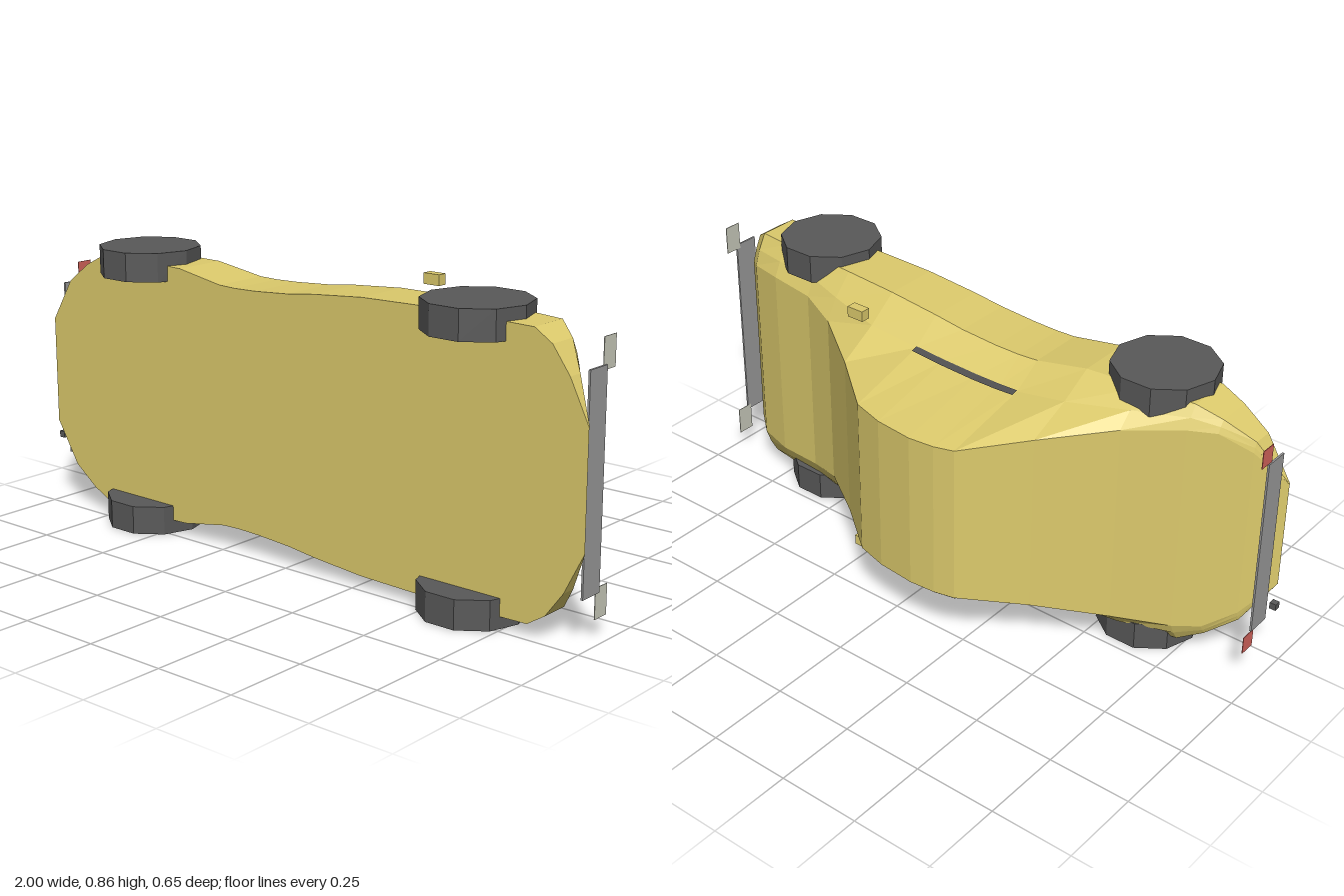
import * as THREE from 'three';

// The car rests on its side: length along x (nose +x), width along y, roof toward -z.
const MID = 0.4325; // middle of the car's width
const FLOOR = 0.235;

// x, body half width, shoulder z, roof half width, roof z
const STATIONS = [
  [-0.98, 0.165, 0.233, 0.165, 0.232],
  [-0.9, 0.295, 0.175, 0.265, 0.165],
  [-0.82, 0.355, 0.13, 0.32, 0.11],
  [-0.75, 0.39, 0.1, 0.325, 0.065],
  [-0.6, 0.395, 0.08, 0.31, -0.025],
  [-0.42, 0.39, 0.07, 0.275, -0.165],
  [-0.26, 0.362, 0.06, 0.245, -0.304],
  [-0.2, 0.36, 0.057, 0.243, -0.32],
  [-0.12, 0.362, 0.055, 0.242, -0.327],
  [0, 0.37, 0.055, 0.243, -0.315],
  [0.1, 0.382, 0.057, 0.245, -0.286],
  [0.27, 0.396, 0.063, 0.257, -0.15],
  [0.45, 0.4, 0.075, 0.275, -0.024],
  [0.57, 0.4, 0.085, 0.3, 0.02],
  [0.72, 0.397, 0.095, 0.308, 0.037],
  [0.83, 0.395, 0.11, 0.302, 0.066],
  [0.885, 0.36, 0.145, 0.28, 0.11],
  [0.94, 0.285, 0.19, 0.235, 0.18],
  [1.0, 0.165, 0.233, 0.165, 0.232],
];

const mat = (name, color, side = THREE.FrontSide) =>
  new THREE.MeshStandardMaterial({ name, color, side, flatShading: true });

// Half section as [half width, z]: floor, shoulder, belt line, roof edge
function section([, w, zs, r, zr]) {
  const zb = Math.max(-0.03, zr + 0.4 * (zs - zr));
  return [[w, FLOOR], [w, zs], [(w + r) / 2, zb], [r, zr]];
}

// Loft quads through rows of points
function loft(rows, closed) {
  const n = rows[0].length;
  const index = [];
  for (let i = 0; i < rows.length - 1; i++) {
    for (let j = 0; j < (closed ? n : n - 1); j++) {
      const k = (j + 1) % n;
      const a = i * n + j, b = i * n + k, c = b + n, d = a + n;
      index.push(a, c, b, a, d, c);
    }
  }
  const geo = new THREE.BufferGeometry();
  geo.setAttribute('position', new THREE.Float32BufferAttribute(rows.flat(2), 3));
  geo.setIndex(index);
  geo.computeVertexNormals();
  return geo;
}

function bodyGeometry() {
  return loft(STATIONS.map((s) => {
    const half = section(s);
    const left = half.map(([w, z]) => [s[0], MID + w, z]);
    const right = half.map(([w, z]) => [s[0], MID - w, z]).reverse();
    return [...left, ...right];
  }), true);
}

// Thin glass skin over the cabin side, from the belt line up by fraction t
function glassGeometry(side, x0, x1, t) {
  const rows = STATIONS.filter((s) => s[0] >= x0 && s[0] <= x1).map((s) => {
    const [, , belt, roof] = section(s);
    return [0, t].map((f) => [
      s[0],
      MID + side * (belt[0] + (roof[0] - belt[0]) * f + 0.004),
      belt[1] + (roof[1] - belt[1]) * f,
    ]);
  });
  return loft(rows, false);
}

export function createModel() {
  const car = new THREE.Group();
  car.name = 'car';
  const paint = mat('yellow paint', 0xdcca6c);
  const rubber = mat('dark rubber', 0x595959);
  const glass = mat('dark glass', 0x505050, THREE.DoubleSide);
  const metal = mat('grey metal', 0x999999);
  const lamp = mat('headlight white', 0xc9cabb);
  const red = mat('taillight red', 0xd4645c);

  const add = (name, geo, material, x = 0, y = 0, z = 0) => {
    const mesh = new THREE.Mesh(geo, material);
    mesh.name = name;
    mesh.position.set(x, y, z);
    car.add(mesh);
  };
  const box = (name, size, material, x, y, z) =>
    add(name, new THREE.BoxGeometry(...size), material, x, y, z);

  add('body', bodyGeometry(), paint);

  // Parts mirrored across the car's width
  const wheel = new THREE.CylinderGeometry(0.153, 0.153, 0.086, 10).rotateY(Math.PI / 2);
  for (const s of [1, -1]) {
    add('frontWheel', wheel, rubber, 0.61, MID + s * 0.3885, 0.175);
    add('rearWheel', wheel, rubber, -0.605, MID + s * 0.3885, 0.175);
    box('mirror', [0.055, 0.032, 0.03], paint, 0.263, MID + s * 0.398, -0.093);
    box('headlight', [0.002, 0.087, 0.055], lamp, 0.975, MID + s * 0.332, 0.113);
    box('taillight', [0.002, 0.055, 0.05], red, -0.966, MID + s * 0.305, 0.118);
    add('windowStrip', glassGeometry(s, -0.26, 0.1, 0.08), glass);
  }
  add('rearSideWindow', glassGeometry(-1, -0.26, -0.12, 0.98), glass);

  // Bumpers and exhaust
  box('frontBumper', [0.006, 0.605, 0.078], metal, 0.977, MID, 0.167);
  box('rearBumper', [0.006, 0.55, 0.075], metal, -0.966, MID, 0.165);
  box('exhaust', [0.02, 0.02, 0.02], rubber, -0.99, 0.214, 0.206);
  return car;
}
